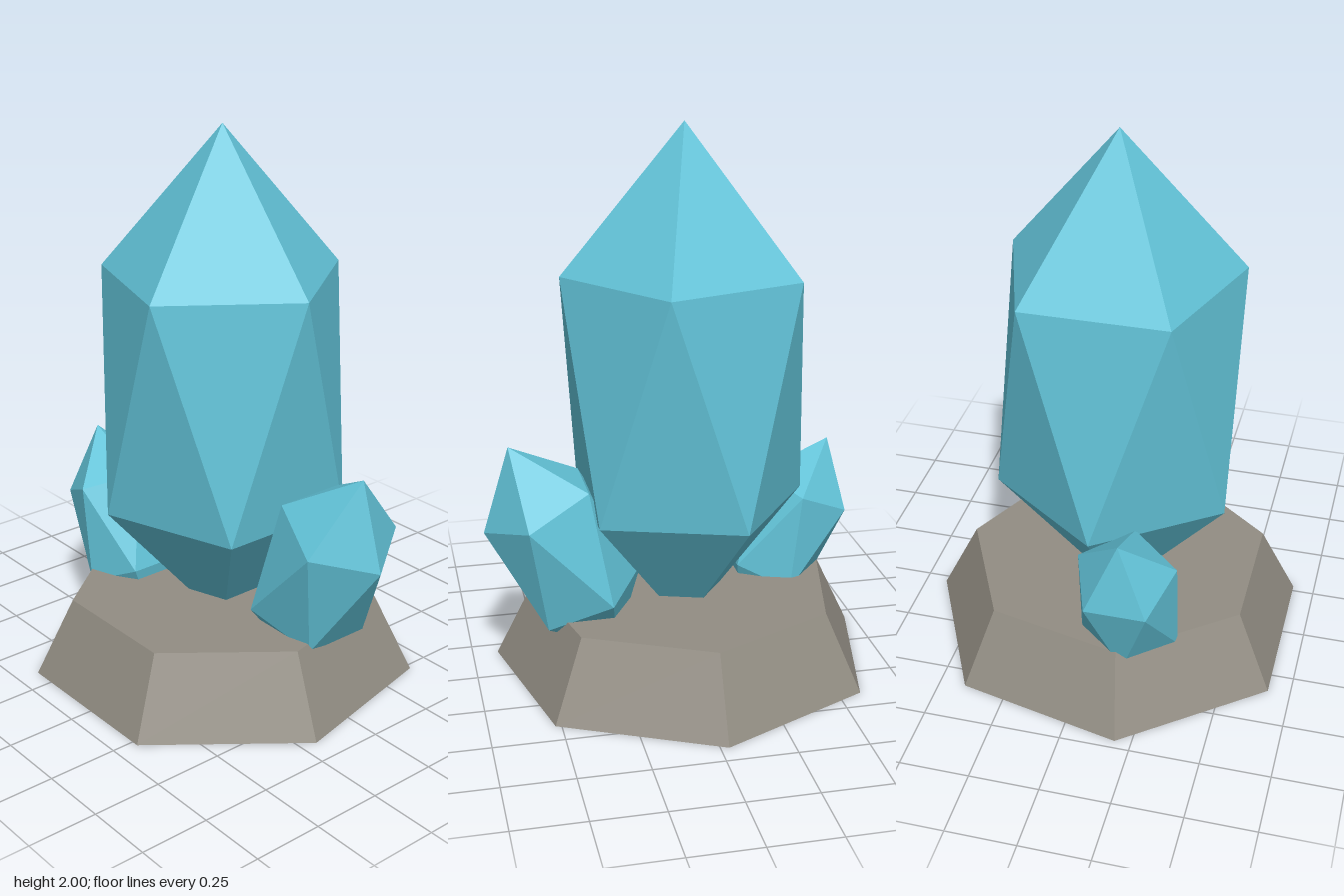
import * as THREE from 'three';

const crystalMat = new THREE.MeshStandardMaterial({ color: 0x62c3d8 });
crystalMat.name = 'crystal blue';
const rockMat = new THREE.MeshStandardMaterial({ color: 0x928d83 });
rockMat.name = 'rock grey';

// Twenty-faced crystal: two twisted five-point rings capped by two tips
function crystalGeometry(ringRadius, halfHeight) {
  const ringY = halfHeight * 0.447;
  const tip = [0, halfHeight, 0];
  const root = [0, -halfHeight, 0];
  const ringPoint = (step, y) => {
    const a = (step * Math.PI * 2) / 5;
    return [ringRadius * Math.cos(a), y, ringRadius * Math.sin(a)];
  };
  const positions = [];
  const tri = (a, b, c) => positions.push(...a, ...b, ...c);
  for (let i = 0; i < 5; i++) {
    const u0 = ringPoint(i, ringY), u1 = ringPoint(i + 1, ringY);
    const l0 = ringPoint(i + 0.5, -ringY), l1 = ringPoint(i + 1.5, -ringY);
    tri(tip, u1, u0);
    tri(u0, u1, l0);
    tri(l0, u1, l1);
    tri(root, l0, l1);
  }
  const geo = new THREE.BufferGeometry();
  geo.setAttribute('position', new THREE.Float32BufferAttribute(positions, 3));
  geo.computeVertexNormals(); // unshared corners give flat facets
  return geo;
}

function addCrystal(group, name, ringRadius, halfHeight, position, tiltDegrees = 0) {
  const mesh = new THREE.Mesh(crystalGeometry(ringRadius, halfHeight), crystalMat);
  mesh.name = name;
  mesh.position.set(...position);
  mesh.rotation.z = THREE.MathUtils.degToRad(tiltDegrees);
  group.add(mesh);
}

export function createModel() {
  const group = new THREE.Group();
  group.name = 'crystalCluster';

  // Seven-sided tapered rock base, one corner pointing to the back
  const baseGeo = new THREE.CylinderGeometry(0.565, 0.705, 0.284, 7, 1, false, Math.PI).toNonIndexed();
  baseGeo.computeVertexNormals();
  const base = new THREE.Mesh(baseGeo, rockMat);
  base.name = 'rockBase';
  base.position.set(-0.03, 0.142, 0.034);
  group.add(base);

  // One tall crystal and two small ones leaning outwards
  addCrystal(group, 'mainCrystal', 0.44, 0.94, [-0.03, 1.06, 0.033]);
  addCrystal(group, 'leftCrystal', 0.218, 0.442, [0.428, 0.5, -0.038], -25);
  addCrystal(group, 'rightCrystal', 0.184, 0.387, [-0.451, 0.419, 0.174], 25);

  return group;
}
